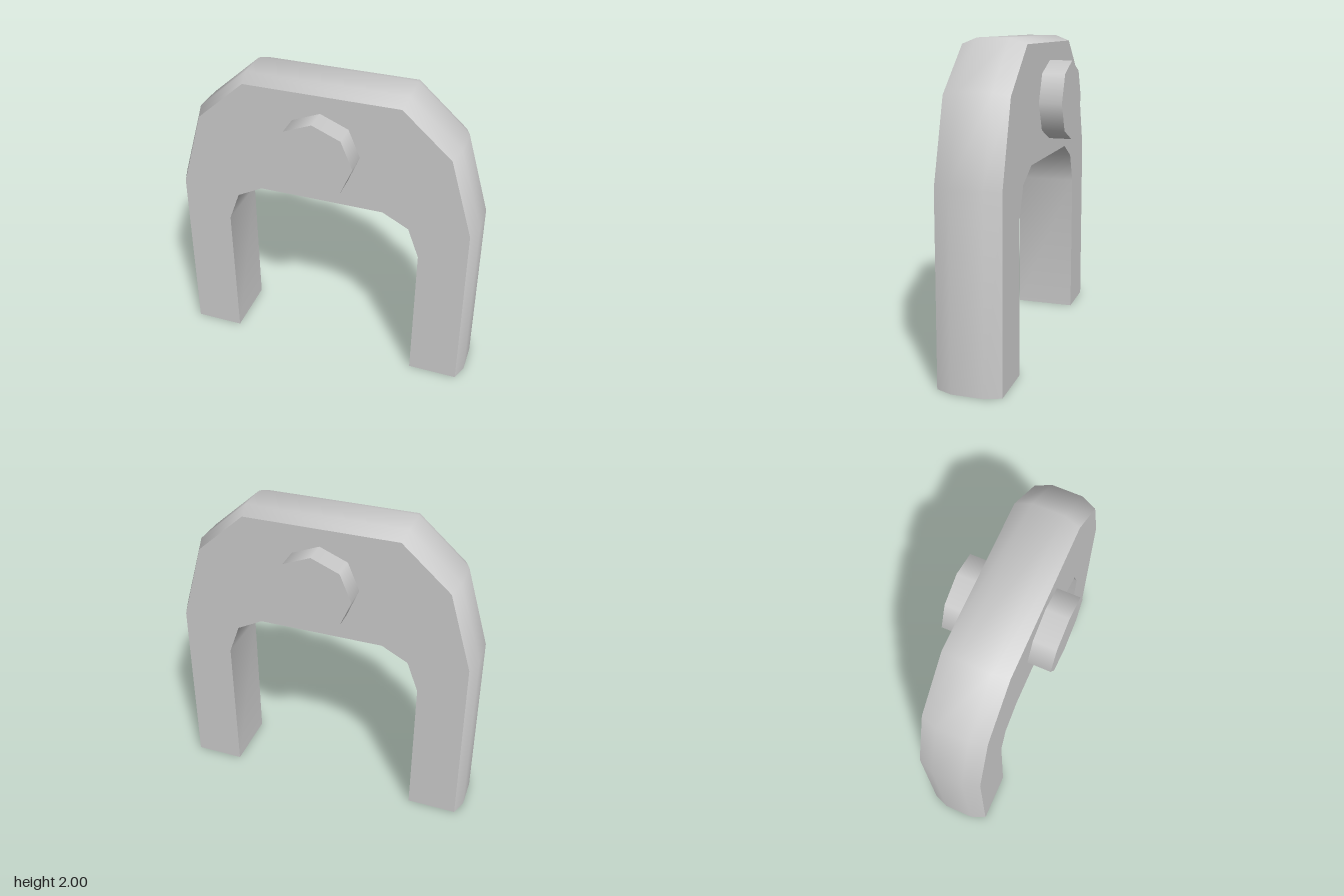
import * as THREE from 'three';
import { toCreasedNormals } from 'three/addons/utils/BufferGeometryUtils.js';

// Left half of the arch, foot to crown: [outer rim, chamfer edge, inner edge] as x, y
const half = [
  [[1.0, 0], [0.96, 0], [0.64, 0]],
  [[0.985, 1.2], [0.945, 1.19], [0.64, 0.96]],
  [[0.83, 1.713], [0.795, 1.69], [0.567, 1.157]],
  [[0.505, 2.0], [0.487, 1.963], [0.4, 1.246]],
];
const DEPTH = 0.2; // half thickness
const RIM = 0.1; // half width of the outer rim between its chamfers

function archGeometry() {
  const mirrored = half.map((s) => s.map(([x, y]) => [-x, y])).reverse();
  const rings = [...half, ...mirrored].map(([rim, edge, inner]) => [
    [...inner, DEPTH], [...edge, DEPTH], [...rim, RIM],
    [...rim, -RIM], [...edge, -DEPTH], [...inner, -DEPTH],
  ]);
  const n = 6;
  const last = rings.length - 1;
  const index = [];
  for (let s = 0; s < last; s++) {
    for (let i = 0; i < n; i++) {
      const j = (i + 1) % n;
      const a = s * n + i, b = s * n + j;
      index.push(a, b, b + n, a, b + n, a + n);
    }
  }
  // Flat soles of both feet
  for (let i = 1; i < n - 1; i++) {
    index.push(0, i + 1, i);
    index.push(last * n, last * n + i, last * n + i + 1);
  }
  const geometry = new THREE.BufferGeometry();
  geometry.setAttribute('position', new THREE.Float32BufferAttribute(rings.flat(2), 3));
  geometry.setIndex(index);
  return toCreasedNormals(geometry, THREE.MathUtils.degToRad(50));
}

export function createModel() {
  const group = new THREE.Group();
  group.name = 'clevis';
  const material = new THREE.MeshStandardMaterial({ color: 0xcccccc });

  // Chamfered arch with two legs
  const arch = new THREE.Mesh(archGeometry(), material);
  arch.name = 'arch';
  group.add(arch);

  // Eight-sided pin through the crown
  const pin = new THREE.Mesh(new THREE.CylinderGeometry(0.248, 0.248, 0.69, 8), material);
  pin.name = 'pin';
  pin.rotation.x = Math.PI / 2;
  pin.position.y = 1.604;
  group.add(pin);

  return group;
}
